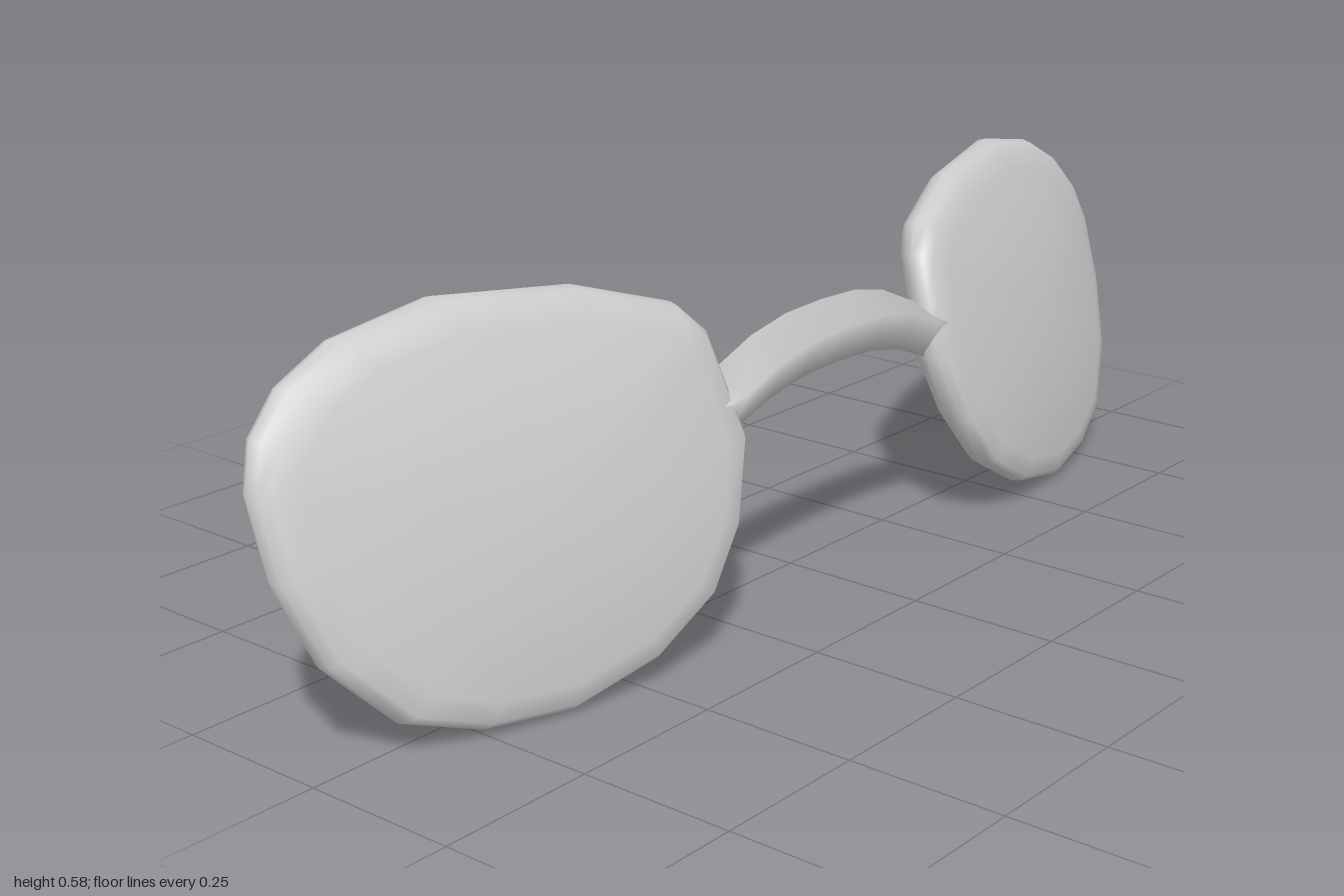
import * as THREE from 'three';
import { mergeVertices } from 'three/addons/utils/BufferGeometryUtils.js';

// Skins a series of closed rings (each an array of [x, y, z]) with smooth normals.
function loft(rings) {
  const n = rings[0].length;
  const index = [];
  for (let i = 0; i < rings.length - 1; i++) {
    for (let j = 0; j < n; j++) {
      const k = (j + 1) % n;
      const a = i * n + j, b = i * n + k, c = a + n, d = b + n;
      index.push(a, b, c, b, d, c);
    }
  }
  let g = new THREE.BufferGeometry();
  g.setAttribute('position', new THREE.Float32BufferAttribute(rings.flat(2), 3));
  g.setIndex(index);
  g = mergeVertices(g, 1e-5);
  g.computeVertexNormals();
  return g;
}

// Lens outline: inner corner, over the top, round the outside and back underneath
const outline = [
  [0.255, 0.40], [0.267, 0.47], [0.305, 0.512], [0.46, 0.562], [0.67, 0.58], [0.83, 0.55],
  [0.92, 0.505], [0.975, 0.45], [1.0, 0.385], [0.997, 0.27], [0.96, 0.15], [0.87, 0.05],
  [0.76, 0.01], [0.62, 0.0], [0.47, 0.035], [0.355, 0.10], [0.285, 0.19], [0.24, 0.31],
];

// Rounded lens section from the flat back to the domed front: [outline scale, height]
const section = [
  [0, 0], [0.5, 0], [0.87, 0.002], [0.94, 0.014], [0.985, 0.033], [1, 0.05],
  [0.985, 0.069], [0.95, 0.083], [0.85, 0.095], [0.5, 0.115], [0, 0.123],
];

// Lens surface: swept outwards, leaning backwards, with the outer back edge wrapping forwards
function lensZ(x, y, h) {
  const wrap = 0.03 * (Math.max(0, x - 0.6) / 0.4) ** 2;
  return 0.193 - 0.246 * x - 0.29 * y + h + wrap * (1 - h / 0.123);
}

function lensGeometry(side) {
  const points = side > 0 ? [...outline].reverse() : outline;
  const cx = 0.63, cy = 0.3;
  return loft(section.map(([s, h]) => points.map(([px, py]) => {
    const x = cx + (px - cx) * s, y = cy + (py - cy) * s;
    return [side * x, y, lensZ(x, y, h)];
  })));
}

// Arched nose bridge with a tilted four-sided section, its ends tapering inside the lenses
function bridgeGeometry() {
  const half = [
    [0, 0.408, 0.077, 0.05], [0.085, 0.405, 0.077, 0.05], [0.165, 0.388, 0.074, 0.05],
    [0.245, 0.354, 0.068, 0.049], [0.305, 0.345, 0.068, 0.036], [0.35, 0.34, 0.062, 0.01],
  ];
  const stations = [
    ...half.slice(1).reverse().map(([x, y, z, r]) => [-x, y, z, r]),
    ...half,
  ];
  return loft(stations.map(([x, y, z, r]) => [0, 1, 2, 3].map((i) => {
    const a = i * Math.PI / 2 - 0.35;
    return [x, y + r * Math.cos(a), z + r * Math.sin(a)];
  })));
}

export function createModel() {
  const model = new THREE.Group();
  model.name = 'eyeglasses';
  const material = new THREE.MeshStandardMaterial({ color: 0xcccccc });
  const add = (name, geometry) => {
    const mesh = new THREE.Mesh(geometry, material);
    mesh.name = name;
    model.add(mesh);
  };
  add('leftLens', lensGeometry(1));
  add('rightLens', lensGeometry(-1));
  add('noseBridge', bridgeGeometry());
  return model;
}
